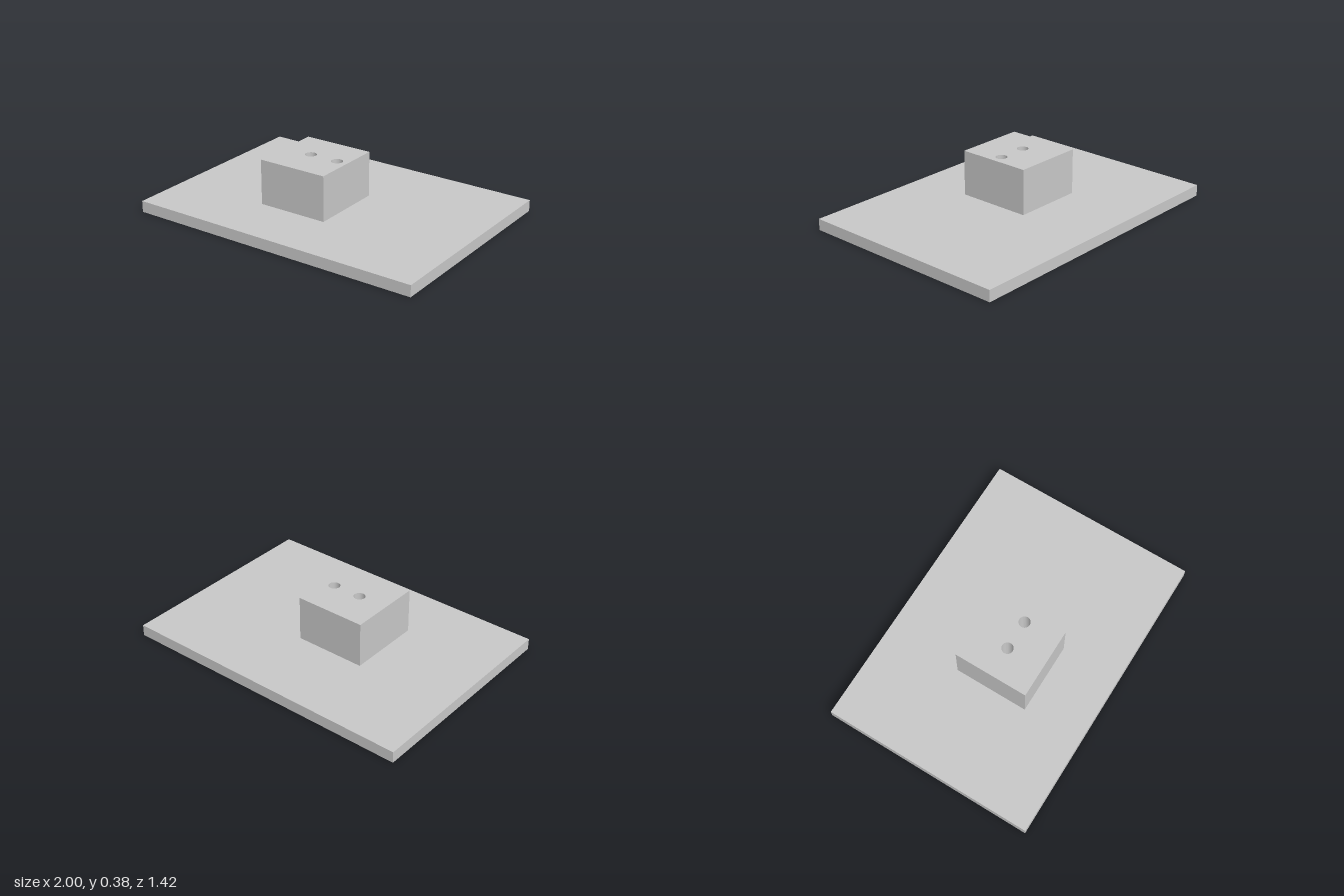
import * as THREE from 'three';

const HOLES = [[-0.15, 0.062], [0.05, 0.062]]; // x, z of the two through holes
const HOLE_RADIUS = 0.0375;

// Upright slab over an x/z rectangle, drilled by the through holes
function drilledSlab(name, x0, x1, z0, z1, y0, y1, material) {
  const shape = new THREE.Shape([
    new THREE.Vector2(x0, -z1), new THREE.Vector2(x1, -z1),
    new THREE.Vector2(x1, -z0), new THREE.Vector2(x0, -z0),
  ]);
  for (const [x, z] of HOLES) {
    shape.holes.push(new THREE.Path().absarc(x, -z, HOLE_RADIUS, 0, Math.PI * 2, true));
  }
  const geometry = new THREE.ExtrudeGeometry(shape, { depth: y1 - y0, bevelEnabled: false, curveSegments: 32 });
  geometry.rotateX(-Math.PI / 2).translate(0, y0, 0);
  const mesh = new THREE.Mesh(geometry, material);
  mesh.name = name;
  return mesh;
}

export function createModel() {
  const lightGrey = new THREE.MeshStandardMaterial({ color: 0xc8c8c8 });
  lightGrey.name = 'lightGrey';

  const model = new THREE.Group();
  model.name = 'drilledBlockOnPlate';
  model.add(
    drilledSlab('basePlate', -1, 1, -0.7125, 0.7125, 0, 0.075, lightGrey),
    drilledSlab('block', -0.351, 0.125, -0.186, 0.312, 0.075, 0.375, lightGrey),
  );
  return model;
}
